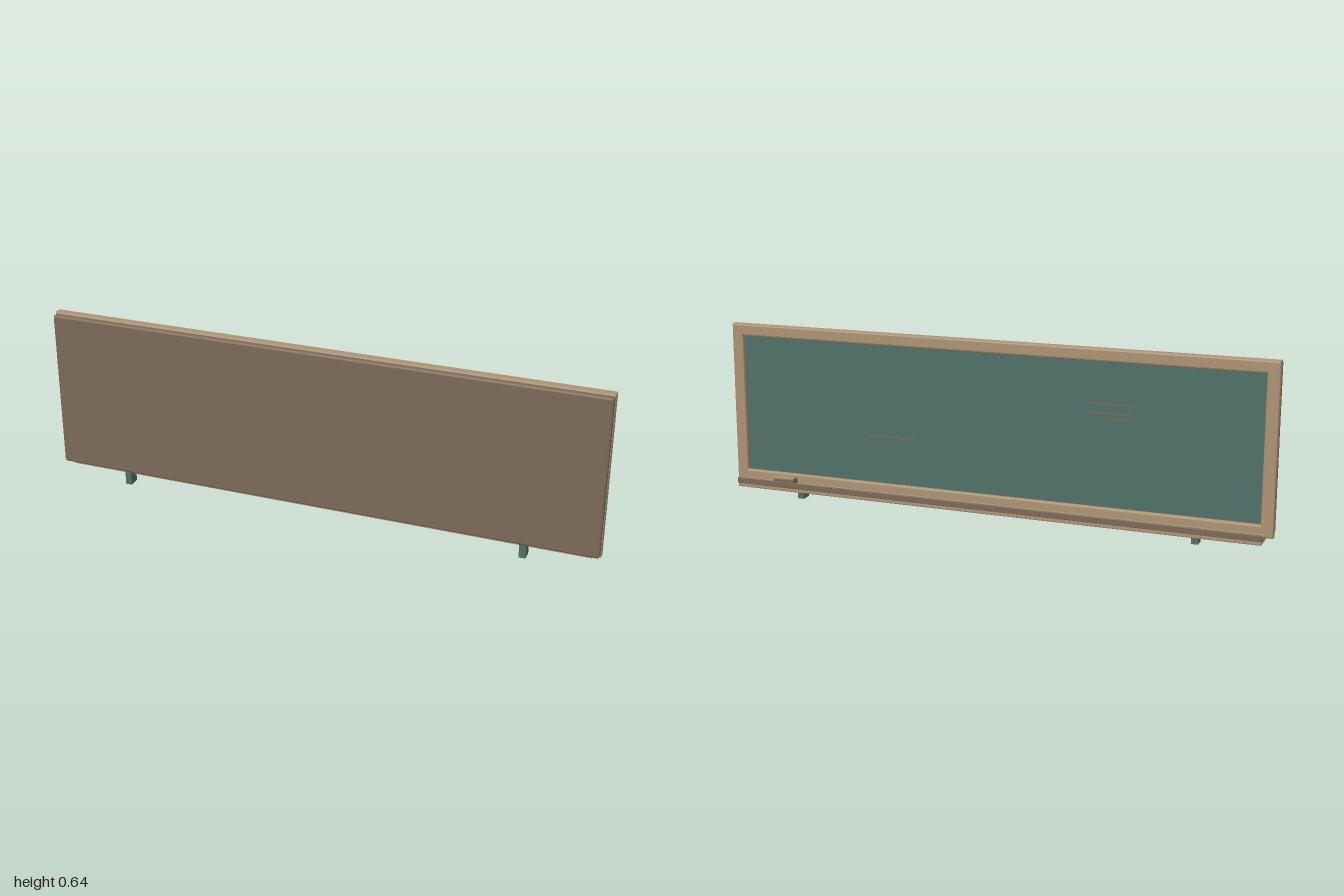
import * as THREE from 'three';
import { RoundedBoxGeometry } from 'three/addons/geometries/RoundedBoxGeometry.js';

const paint = (name, color) => {
  const m = new THREE.MeshStandardMaterial({ color });
  m.name = name;
  return m;
};

export function createModel() {
  const group = new THREE.Group();
  const tan = paint('light wood', 0xac9274);
  const brown = paint('dark wood', 0x7c6958);
  const green = paint('board green', 0x4f7067);

  const add = (name, geometry, material) => {
    const mesh = new THREE.Mesh(geometry, material);
    mesh.name = name;
    group.add(mesh);
    return mesh;
  };
  // Box given by its limits on each axis, with optionally rounded edges
  const box = (name, material, [x0, x1], [y0, y1], [z0, z1], r = 0) => {
    const s = [x1 - x0, y1 - y0, z1 - z0];
    const g = r ? new RoundedBoxGeometry(...s, 2, r) : new THREE.BoxGeometry(...s);
    g.translate((x0 + x1) / 2, (y0 + y1) / 2, (z0 + z1) / 2);
    return add(name, g, material);
  };

  // Frame: bevelled rectangle with a rectangular opening
  const rect = (path, x, y0, y1) =>
    path.moveTo(-x, y0).lineTo(x, y0).lineTo(x, y1).lineTo(-x, y1).closePath();
  const bevel = 0.006;
  const outline = rect(new THREE.Shape(), 1 - bevel, 0.049 + bevel, 0.638 - bevel);
  outline.holes.push(rect(new THREE.Path(), 0.957 + bevel, 0.092 - bevel, 0.595 + bevel));
  const frame = new THREE.ExtrudeGeometry(outline, {
    depth: 0.034 - 2 * bevel, bevelEnabled: true, bevelSize: bevel,
    bevelThickness: bevel, bevelSegments: 2,
  });
  frame.translate(0, 0, bevel);
  add('frame', frame, tan);

  // Writing surface and backing panel
  box('writingSurface', green, [-0.97, 0.97], [0.08, 0.61], [0.014, 0.032]);
  box('backingPanel', brown, [-0.998, 0.998], [0.054, 0.633], [0.028, 0.055], 0.008);

  // Written lines on the board
  const marks = [[0.28, 0.47, 0.263], [-0.53, -0.33, 0.45], [-0.51, -0.36, 0.418], [-0.5, -0.42, 0.4]];
  for (const [x0, x1, y] of marks) {
    box('chalkLine', brown, [x0, x1], [y - 0.002, y + 0.002], [0.011, 0.015]);
  }

  // Tray with raised lip
  box('tray', tan, [-0.972, 0.972], [0.037, 0.062], [-0.046, 0.028], 0.003);
  box('trayLip', brown, [-0.972, 0.972], [0.051, 0.072], [-0.05, -0.041], 0.002);

  // Eraser resting on the tray
  box('eraserBody', brown, [0.74, 0.82], [0.061, 0.086], [-0.049, -0.014], 0.004);
  box('eraserCap', tan, [0.738, 0.822], [0.085, 0.089], [-0.054, -0.028]);

  // Small support feet
  for (const side of [-1, 1]) {
    const x = side * 0.74;
    box(side > 0 ? 'leftFoot' : 'rightFoot', green, [x - 0.012, x + 0.012], [0, 0.06], [0.005, 0.045]);
  }
  return group;
}
